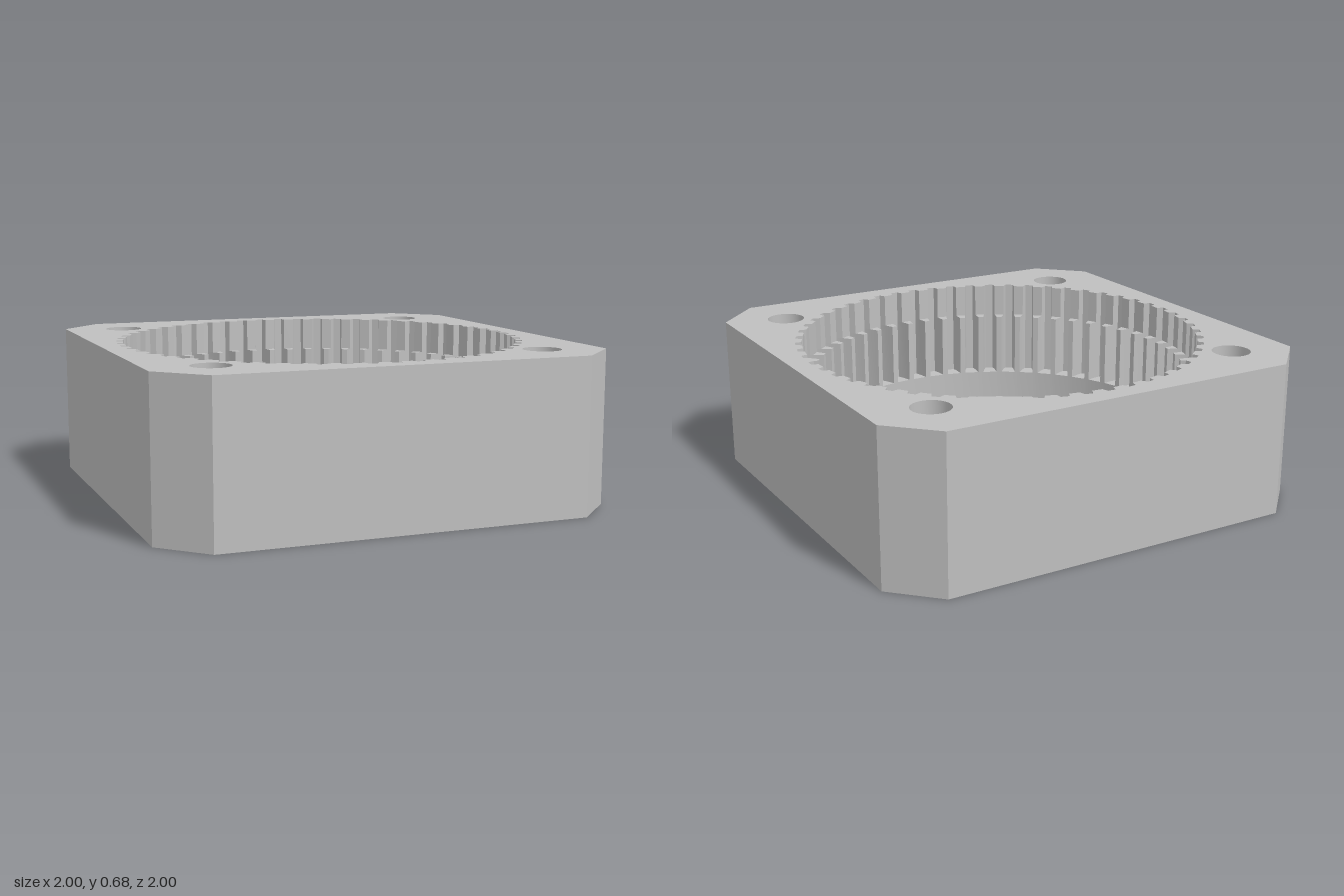
import * as THREE from 'three';
import { toCreasedNormals, mergeGeometries } from 'three/addons/utils/BufferGeometryUtils.js';

const H = 0.68, STEP_Y = 0.53, TEETH_Y = 0.235, FLOOR_Y = 0.1;
const TEETH = 56, PHASE = 0.021;
const R_TIP = 0.838, R_STEP = 0.885, R_ROOT = 0.914, R_HOLE = 0.543;
const A_TIP = 0.041, A_STEP = 0.030, A_ROOT = 0.019; // half angles of a tooth gap

const polar = (r, a) => new THREE.Vector2(r * Math.cos(a), r * Math.sin(a));
const circle = (r, n, cx = 0, cz = 0) =>
  Array.from({ length: n }, (_, i) => polar(r, (i / n) * Math.PI * 2).add(new THREE.Vector2(cx, cz)));

// Vertical wall along a closed outline of (x, z) points
function wall(points, y0, y1, inward = false) {
  const pts = inward ? [...points].reverse() : points;
  const v = [];
  pts.forEach((a, i) => {
    const b = pts[(i + 1) % pts.length];
    v.push(a.x, y0, a.y, a.x, y1, a.y, b.x, y1, b.y);
    v.push(a.x, y0, a.y, b.x, y1, b.y, b.x, y0, b.y);
  });
  const g = new THREE.BufferGeometry();
  g.setAttribute('position', new THREE.Float32BufferAttribute(v, 3));
  return toCreasedNormals(g, 0.35);
}

// Horizontal face with holes, facing up or down
function face(points, holes, y, up = true) {
  const s = up ? -1 : 1;
  const flip = (list) => list.map((p) => new THREE.Vector2(p.x, s * p.y));
  const shape = new THREE.Shape(flip(points));
  holes.forEach((h) => shape.holes.push(new THREE.Path(flip(h))));
  const g = new THREE.ShapeGeometry(shape);
  g.rotateX((s * Math.PI) / 2);
  g.translate(0, y, 0);
  return g;
}

export function createModel() {
  const group = new THREE.Group();
  const grey = new THREE.MeshStandardMaterial({ color: 0xbfbfbf });
  grey.name = 'machined grey';
  const add = (name, geometry) => {
    const mesh = new THREE.Mesh(geometry, grey);
    mesh.name = name;
    group.add(mesh);
  };

  // Outlines
  const c = 0.81;
  const block = [[1, -c], [1, c], [c, 1], [-c, 1], [-1, c], [-1, -c], [-c, -1], [c, -1]]
    .map(([x, z]) => new THREE.Vector2(x, z));
  const bolts = [];
  for (const x of [-0.733, 0.733]) for (const z of [-0.733, 0.733]) bolts.push(circle(0.084, 40, x, z));
  const hole = circle(R_HOLE, 96);

  // Gear outlines: shallow above the step, full depth below it
  const shallow = [], deep = [], bore = [], tips = [], gaps = [];
  const pitch = (Math.PI * 2) / TEETH;
  for (let i = 0; i < TEETH; i++) {
    const a = PHASE + i * pitch;
    const upper = [polar(R_STEP, a - A_STEP), polar(R_ROOT, a - A_ROOT), polar(R_ROOT, a + A_ROOT), polar(R_STEP, a + A_STEP)];
    const ends = [polar(R_TIP, a - A_TIP), polar(R_TIP, a + A_TIP)];
    const full = [ends[0], ...upper, ends[1]];
    shallow.push(...upper);
    deep.push(...full);
    bore.push(...ends);
    gaps.push(face(full, [], TEETH_Y));
    const next = a + pitch;
    tips.push(face([ends[1], upper[3], polar(R_STEP, next - A_STEP), polar(R_TIP, next - A_TIP)], [], STEP_Y));
  }

  // Block with chamfered corners
  add('outerWall', wall(block, 0, H));
  add('topFace', face(block, [shallow, ...bolts], H));
  add('bottomFace', face(block, [hole, ...bolts], 0, false));
  bolts.forEach((b) => add('boltHole', wall(b, 0, H, true)));

  // Internal teeth, cut back near the top
  add('upperTeeth', wall(shallow, STEP_Y, H, true));
  add('toothStep', mergeGeometries(tips));
  add('lowerTeeth', wall(deep, TEETH_Y, STEP_Y, true));
  add('toothGapFloor', mergeGeometries(gaps));

  // Smooth bore, floor and centre opening
  add('bore', wall(bore, FLOOR_Y, TEETH_Y, true));
  add('floor', face(bore, [hole], FLOOR_Y));
  add('centreOpening', wall(hole, 0, FLOOR_Y, true));
  return group;
}
